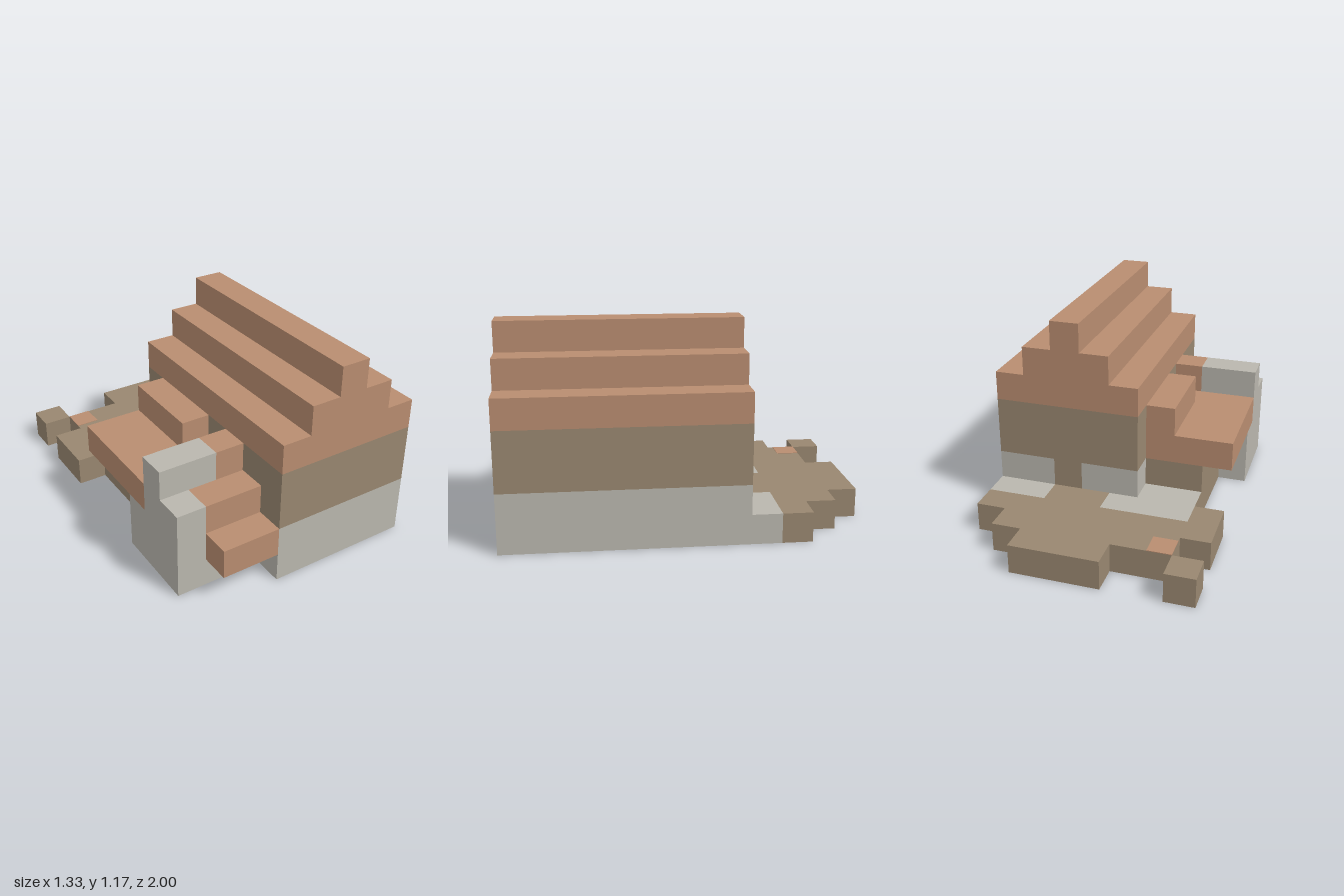
import * as THREE from 'three';
import { mergeGeometries } from 'three/addons/utils/BufferGeometryUtils.js';

const U = 1 / 6; // block size

function material(name, color) {
  const m = new THREE.MeshStandardMaterial({ color, side: THREE.DoubleSide });
  m.name = name;
  return m;
}

// Outward directions of a block; undersides stay open
const SIDES = [
  { n: [0, 0, 1], rx: 0, ry: 0 },
  { n: [0, 0, -1], rx: 0, ry: Math.PI },
  { n: [1, 0, 0], rx: 0, ry: Math.PI / 2 },
  { n: [-1, 0, 0], rx: 0, ry: -Math.PI / 2 },
  { n: [0, 1, 0], rx: -Math.PI / 2, ry: 0 },
];

export function createModel() {
  const mats = {
    clay: material('clay', 0xb98d70),
    earth: material('earth', 0x998770),
    stone: material('stone', 0xbab7ae),
  };
  const model = new THREE.Group();
  model.name = 'steppedHouse';

  // Boxes are [x0, x1, y0, y1, z0, z1] in blocks; paint gives the colour of a face
  const parts = [
    {
      name: 'houseWalls',
      boxes: [[-1, 4, 0, 4, -2, 6]],
      paint: (x, y, z, n) => {
        if (n[2] < 0 && y === 1 && x === 1) return 'earth'; // gap in the rear footing
        return y < 2 ? 'stone' : 'earth';
      },
    },
    {
      name: 'steppedRoof',
      boxes: [[-1, 4, 4, 5, -2, 6], [0, 3, 5, 6, -2, 6], [1, 2, 6, 7, -2, 6]],
      paint: () => 'clay',
    },
    {
      name: 'rearTerrace',
      boxes: [
        [-4, 4, 0, 1, -4, -2], [-3, 3, 0, 1, -5, -4], [-1, 2, 0, 1, -6, -5],
        [-4, -3, 0, 1, -6, -5], [-3, -1, 0, 1, -2, -1],
      ],
      paint: (x, y, z, n) => {
        if (n[1] > 0 && z >= -3 && ((x >= -3 && x < 0) || x >= 2)) return 'stone';
        return n[0] > 0 && x === 3 && z === -3 ? 'stone' : 'earth';
      },
    },
    { name: 'annexRoof', boxes: [[-4, -1, 2, 3, -1, 3], [-2, -1, 3, 4, -1, 2]], paint: () => 'clay' },
    { name: 'annexWalls', boxes: [[-3, -1, 0, 2, -1, 2]], paint: () => 'earth' },
    {
      name: 'annexFront',
      boxes: [[-4, -1, 0, 3, 2, 5]],
      paint: (x, y) => (x >= -3 && y >= 1 ? 'clay' : 'stone'),
    },
    { name: 'frontStep', boxes: [[-3, -1, 1, 2, 5, 6]], paint: () => 'clay' },
    { name: 'annexParapet', boxes: [[-4, -1, 3, 4, 3, 4]], paint: (x) => (x >= -2 ? 'clay' : 'stone') },
  ];

  // Fill the block grid, first part wins
  const filled = new Map();
  const key = (x, y, z) => `${x},${y},${z}`;
  for (const part of parts) {
    part.cells = [];
    for (const [x0, x1, y0, y1, z0, z1] of part.boxes)
      for (let x = x0; x < x1; x++)
        for (let y = y0; y < y1; y++)
          for (let z = z0; z < z1; z++) {
            if (filled.has(key(x, y, z))) continue;
            filled.set(key(x, y, z), part.name);
            part.cells.push([x, y, z]);
          }
  }

  // Skin each part with the exposed block faces, one mesh per colour
  for (const part of parts) {
    const faces = {};
    for (const [x, y, z] of part.cells)
      for (const { n, rx, ry } of SIDES) {
        if (filled.has(key(x + n[0], y + n[1], z + n[2]))) continue;
        const face = new THREE.PlaneGeometry(U, U).rotateX(rx).rotateY(ry);
        face.translate(
          (x + 0.5 + n[0] / 2) * U,
          (y + 0.5 + n[1] / 2) * U,
          (z + 0.5 + n[2] / 2) * U,
        );
        (faces[part.paint(x, y, z, n)] ??= []).push(face);
      }
    const group = new THREE.Group();
    group.name = part.name;
    for (const [color, list] of Object.entries(faces)) {
      const mesh = new THREE.Mesh(mergeGeometries(list), mats[color]);
      mesh.name = `${part.name} ${color}`;
      group.add(mesh);
    }
    model.add(group);
  }

  // Small clay tile on the terrace
  const tile = new THREE.Mesh(new THREE.BoxGeometry(0.135, 0.004, 0.135), mats.clay);
  tile.name = 'terraceTile';
  tile.position.set(-0.4325, U + 0.001, -0.766);
  model.add(tile);

  return model;
}
